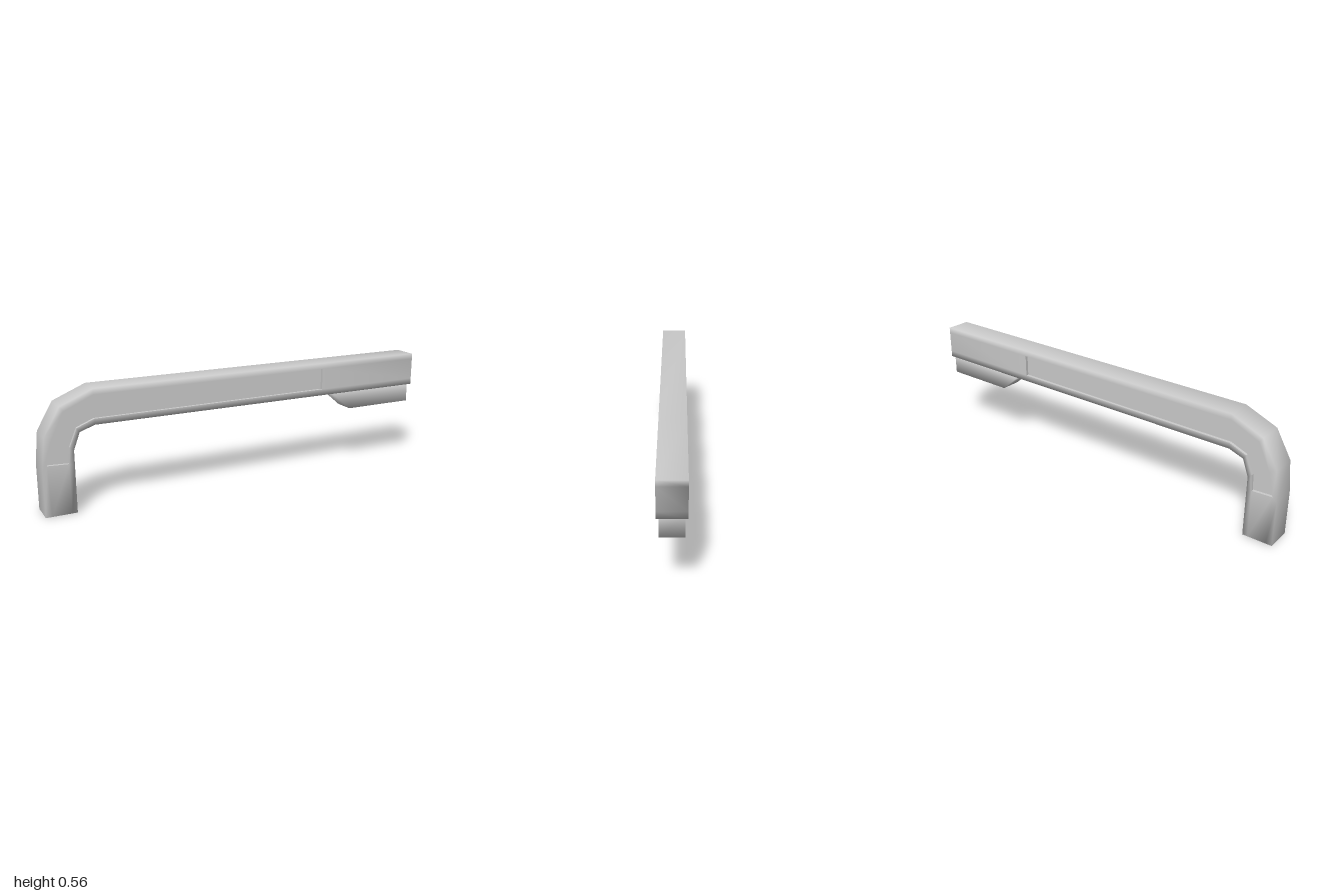
import * as THREE from 'three';
import { mergeVertices } from 'three/addons/utils/BufferGeometryUtils.js';

const HALF = 0.062;   // half thickness of the bar
const DEPTH = 0.014;  // depth of the side recesses

// Stations along the bar: [outer edge, recess outer, recess inner, inner edge], each x, y
const stations = [
  [-1, 0, -0.97, 0, -0.88, 0, -0.855, 0],
  [-1, 0.22, -0.978, 0.24, -0.88, 0.235, -0.855, 0.225],   // recess starts
  [-0.985, 0.37, -0.952, 0.353, -0.873, 0.31, -0.855, 0.295],
  [-0.91, 0.5, -0.893, 0.476, -0.838, 0.395, -0.825, 0.375],
  [-0.755, 0.565, -0.755, 0.537, -0.755, 0.428, -0.755, 0.4],
  [0.46, 0.565, 0.435, 0.537, 0.435, 0.431, 0.49, 0.4],    // recess ends
  [1, 0.565, 1, 0.537, 1, 0.431, 1, 0.4],
];
const FIRST = 1, LAST = 5;

const point = (s, k, z) => [stations[s][2 * k], stations[s][2 * k + 1], z];

function quad(out, a, b, c, d) {
  out.push(...a, ...b, ...c, ...a, ...c, ...d);
}

function geometryFrom(positions) {
  const g = new THREE.BufferGeometry();
  g.setAttribute('position', new THREE.Float32BufferAttribute(positions, 3));
  return g;
}

// Weld the corners so the shading runs smoothly round the edges
function smooth(geometry) {
  geometry.deleteAttribute('normal');
  geometry.deleteAttribute('uv');
  const g = mergeVertices(geometry, 1e-4);
  g.computeVertexNormals();
  return g;
}

// Bent rectangular bar, left open where the recesses sit
function barGeometry() {
  const out = [];
  const ring = (s) => [
    ...[0, 1, 2, 3].map((k) => point(s, k, HALF)),
    ...[3, 2, 1, 0].map((k) => point(s, k, -HALF)),
  ];
  for (let s = 0; s < stations.length - 1; s++) {
    const a = ring(s), b = ring(s + 1);
    for (let j = 0; j < 8; j++) {
      if (s >= FIRST && s < LAST && (j === 1 || j === 5)) continue;
      const n = (j + 1) % 8;
      quad(out, a[j], a[n], b[n], b[j]);
    }
  }
  const start = ring(0), end = ring(stations.length - 1);
  for (let j = 0; j < 3; j++) {
    quad(out, end[j], end[j + 1], end[6 - j], end[7 - j]);
    quad(out, start[7 - j], start[6 - j], start[j + 1], start[j]);
  }
  return smooth(geometryFrom(out));
}

// Sunken panel on one side: floor, long walls and end walls
function recessGeometry(side) {
  const out = [];
  const face = (a, b, c, d) => (side > 0 ? quad(out, a, b, c, d) : quad(out, d, c, b, a));
  const ring = (s) => [
    point(s, 1, side * HALF), point(s, 1, side * (HALF - DEPTH)),
    point(s, 2, side * (HALF - DEPTH)), point(s, 2, side * HALF),
  ];
  for (let s = FIRST; s < LAST; s++) {
    const a = ring(s), b = ring(s + 1);
    for (let j = 0; j < 3; j++) face(a[j], a[j + 1], b[j + 1], b[j]);
  }
  const a = ring(FIRST), b = ring(LAST);
  face(a[0], a[3], a[2], a[1]);
  face(b[0], b[1], b[2], b[3]);
  const g = geometryFrom(out);
  g.computeVertexNormals();
  return g;
}

// Wedge-fronted block under the head
function lugGeometry() {
  const shape = new THREE.Shape([[0.5, 0.405], [0.615, 0.307], [0.985, 0.307], [0.985, 0.405]]
    .map(([x, y]) => new THREE.Vector2(x, y)));
  const g = new THREE.ExtrudeGeometry(shape, { depth: 0.102, bevelEnabled: false });
  g.translate(0, 0, -0.051);
  return smooth(g);
}

export function createModel() {
  const group = new THREE.Group();
  group.name = 'bentHandle';
  const smoothGrey = new THREE.MeshStandardMaterial({ color: 0xcccccc });
  const flatGrey = new THREE.MeshStandardMaterial({ color: 0xcccccc, flatShading: true });

  const add = (name, geometry, material) => {
    const mesh = new THREE.Mesh(geometry, material);
    mesh.name = name;
    group.add(mesh);
  };
  add('bar', barGeometry(), smoothGrey);
  add('frontRecess', recessGeometry(1), flatGrey);
  add('backRecess', recessGeometry(-1), flatGrey);
  add('headLug', lugGeometry(), smoothGrey);
  return group;
}
